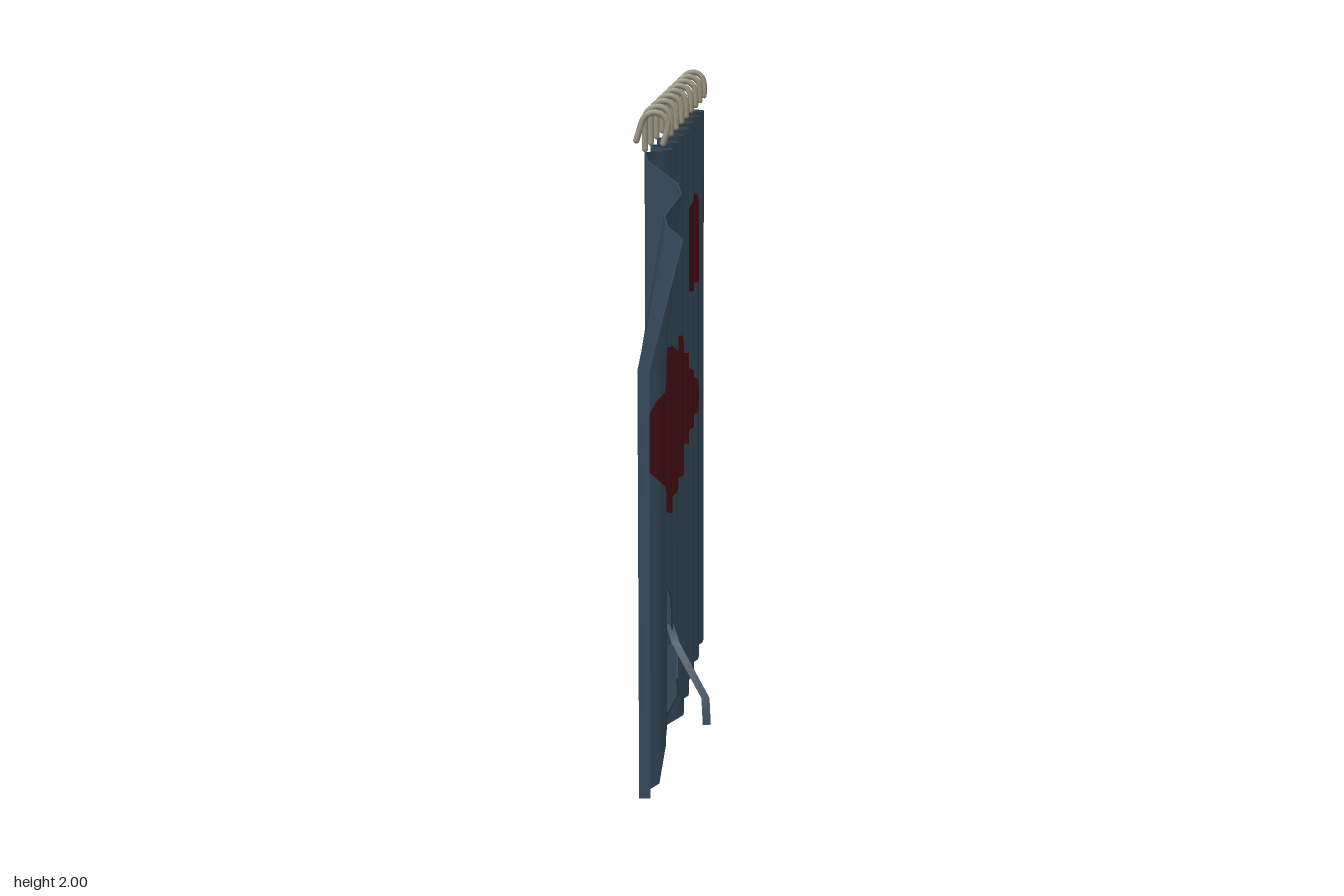
import * as THREE from 'three';

const FOLDS = 48, STEP = 1.6 / FOLDS;      // eight waves of six facets each
const TOP = 1.86, CURL_Y = 1.27, CURL_Z = 0.54, HALF_THICK = 0.002;
const { lerp, clamp } = THREE.MathUtils;

const foldZ = i => -0.8 + i * STEP;
const wave = i => -0.052 + 0.038 * Math.sin(i * Math.PI / 3);

// Sideways position of the cloth: faceted wave plus the loose corner leaning out
function clothX(z, y) {
  const f = (z + 0.8) / STEP, i = Math.floor(f + 1e-6);
  const s = clamp((z - CURL_Z) / (0.8 - CURL_Z), 0, 1);
  const top = TOP - 0.21 * s;
  const curl = 0.097 * s * clamp((y - CURL_Y) / (top - CURL_Y), 0, 1);
  return lerp(wave(i), wave(i + 1), f - i) + curl;
}

function clothNormal(z, y) {
  const h = STEP * 0.8;
  const dz = (clothX(z + h, y) - clothX(z - h, y)) / (2 * h);
  const dy = (clothX(z, y + h) - clothX(z, y - h)) / (2 * h);
  return new THREE.Vector3(1, -dy, -dz).normalize();
}

// Outline of the cloth in (z, y): wavy hem, jagged tear, drooping corner
function clothOutline() {
  const hem = i => [foldZ(i), 0.38 * (wave(i) + 0.085)];
  const pts = [];
  for (let i = 0; foldZ(i) < 0.15; i++) pts.push(hem(i));
  pts.push([0.162, 0.002], [0.265, 0.207], [0.249, 0.345], [0.361, 0.292], [0.34, 0.515], [0.44, 0.414],
    [0.499, 0.647], [0.578, 0.387], [0.562, 0.223], [0.663, 0.154], [0.685, 0.018]);
  for (let i = 45; i <= FOLDS; i++) pts.push(hem(i));
  pts.push([0.8, 1.65], [CURL_Z, TOP], [-0.8, TOP]);
  return pts;
}

const longStain = [
  [0.737, 1.035], [0.727, 1.10], [0.69, 1.167], [0.63, 1.22], [0.562, 1.26], [0.472, 1.284], [0.34, 1.284],
  [0.297, 1.268], [0.255, 1.225], [0.18, 1.252], [0.138, 1.236], [0.069, 1.247], [0, 1.183], [-0.111, 1.157],
  [-0.19, 1.15], [-0.276, 1.103], [-0.34, 1.056], [-0.42, 1.04], [-0.472, 1.03], [-0.54, 0.99], [-0.567, 0.934],
  [-0.546, 0.886], [-0.493, 0.865], [-0.366, 0.88], [-0.297, 0.86], [-0.207, 0.85], [-0.111, 0.865], [-0.02, 0.85],
  [0.03, 0.81], [0.085, 0.80], [0.165, 0.81], [0.255, 0.806], [0.297, 0.78], [0.366, 0.764], [0.472, 0.785],
  [0.59, 0.85], [0.658, 0.90], [0.716, 0.97]];

const splatStain = [
  [-0.38, 1.645], [-0.41, 1.62], [-0.45, 1.63], [-0.48, 1.615], [-0.51, 1.62], [-0.55, 1.59], [-0.58, 1.60],
  [-0.59, 1.56], [-0.63, 1.54], [-0.64, 1.50], [-0.68, 1.48], [-0.66, 1.44], [-0.665, 1.41], [-0.63, 1.38],
  [-0.63, 1.35], [-0.58, 1.34], [-0.55, 1.315], [-0.50, 1.32], [-0.41, 1.295], [-0.38, 1.32], [-0.32, 1.32],
  [-0.31, 1.35], [-0.26, 1.36], [-0.265, 1.41], [-0.24, 1.43], [-0.26, 1.47], [-0.23, 1.49], [-0.24, 1.53],
  [-0.28, 1.555], [-0.32, 1.59], [-0.34, 1.62]];

// Cut the cloth into upright slabs at every fold and outline corner, then sort
// the trapezoids of each slab into plain cloth, stain or nothing
function clothGeometries() {
  const edges = [];
  const addLoop = (pts, kind) => pts.forEach((a, i) => edges.push({ a, b: pts[(i + 1) % pts.length], kind }));
  addLoop(clothOutline(), 'cloth');
  addLoop(longStain, 'stain');
  addLoop(splatStain, 'stain');
  edges.push({ a: [CURL_Z, CURL_Y], b: [0.8, CURL_Y], kind: 'crease' });

  const cuts = edges.flatMap(e => [e.a[0], e.b[0]]);
  for (let i = 0; i <= FOLDS; i++) cuts.push(foldZ(i));
  cuts.sort((p, q) => p - q);

  const yAt = ({ a, b }, z) => lerp(a[1], b[1], (z - a[0]) / (b[0] - a[0]));
  const data = { cloth: { pos: [], nor: [] }, stain: { pos: [], nor: [] } };

  // Quad of [z, y, side] corners; side picks the outer (+1) or inner (-1) face
  const quad = (out, corners, rimNormal) => {
    for (const n of [0, 1, 2, 0, 2, 3]) {
      const [z, y, side] = corners[n];
      out.pos.push(clothX(z, y) + side * HALF_THICK, y, z);
      out.nor.push(...(rimNormal || clothNormal(z, y).multiplyScalar(side).toArray()));
    }
  };

  for (let k = 0; k + 1 < cuts.length; k++) {
    const z0 = cuts[k], z1 = cuts[k + 1], mid = (z0 + z1) / 2;
    if (z1 - z0 < 1e-6) continue;
    const crossing = edges
      .filter(({ a, b }) => Math.min(a[0], b[0]) < mid && Math.max(a[0], b[0]) > mid)
      .sort((p, q) => yAt(p, mid) - yAt(q, mid));
    const inside = { cloth: false, stain: false, crease: false };
    for (let j = 0; j + 1 < crossing.length; j++) {
      const lo = crossing[j], hi = crossing[j + 1];
      inside[lo.kind] = !inside[lo.kind];
      if (!inside.cloth) continue;
      const out = inside.stain ? data.stain : data.cloth;
      const q = [[z1, yAt(lo, z1)], [z0, yAt(lo, z0)], [z0, yAt(hi, z0)], [z1, yAt(hi, z1)]];
      const outer = q.map(p => [...p, 1]), inner = q.map(p => [...p, -1]);
      quad(out, outer);
      quad(out, [...inner].reverse());
      // Thin rim along the hem, tear and top
      if (lo.kind === 'cloth') quad(out, [inner[0], inner[1], outer[1], outer[0]], [0, -1, 0]);
      if (hi.kind === 'cloth') quad(out, [outer[3], outer[2], inner[2], inner[3]], [0, 1, 0]);
    }
  }
  return [data.cloth, data.stain].map(({ pos, nor }) => new THREE.BufferGeometry()
    .setAttribute('position', new THREE.Float32BufferAttribute(pos, 3))
    .setAttribute('normal', new THREE.Float32BufferAttribute(nor, 3)));
}

// Narrow ribbon of torn cloth hanging out of the hole
function shredGeometry() {
  const path = [[-0.037, 0.4, 0.325], [-0.012, 0.36, 0.392], [0.082, 0.205, 0.442], [0.087, 0.125, 0.455]];
  const geo = new THREE.PlaneGeometry(0.024, 1, 1, path.length - 1);
  const p = geo.attributes.position;
  for (let i = 0; i < p.count; i++) {
    const [x, y, z] = path[Math.floor(i / 2)];
    p.setXYZ(i, x + p.getX(i), y, z - 0.25 * p.getX(i));
  }
  geo.computeVertexNormals();
  return geo;
}

// Cane-shaped hook centred on its bend
function makeHook(leg, material) {
  const r = 0.037, pts = [new THREE.Vector3(-r, -leg, 0), new THREE.Vector3(-r, -leg / 2, 0)];
  for (let i = 0; i <= 6; i++) {
    const a = Math.PI * (1 - i / 6);
    pts.push(new THREE.Vector3(r * Math.cos(a), r * Math.sin(a), 0));
  }
  pts.push(new THREE.Vector3(r, -0.04, 0));
  const hook = new THREE.Group();
  const bar = new THREE.Mesh(new THREE.TubeGeometry(new THREE.CatmullRomCurve3(pts), 24, 0.009, 8), material);
  bar.name = 'hookBar';
  hook.add(bar);
  for (const end of [pts[0], pts[pts.length - 1]]) {
    const tip = new THREE.Mesh(new THREE.SphereGeometry(0.009, 8, 6), material);
    tip.name = 'hookTip';
    tip.position.copy(end);
    hook.add(tip);
  }
  return hook;
}

export function createModel() {
  const group = new THREE.Group();
  const clothMat = new THREE.MeshStandardMaterial({ color: 0x354a5b, side: THREE.DoubleSide });
  const stainMat = new THREE.MeshStandardMaterial({ color: 0x490f14, side: THREE.DoubleSide });
  const hookMat = new THREE.MeshStandardMaterial({ color: 0x99927f });

  const add = (name, geo, mat) => {
    const mesh = new THREE.Mesh(geo, mat);
    mesh.name = name;
    group.add(mesh);
  };
  const [cloth, stains] = clothGeometries();
  add('curtain', cloth, clothMat);
  add('stains', stains, stainMat);
  add('tornShred', shredGeometry(), clothMat);

  // Row of hooks; the last has come loose and hangs askew
  for (let i = 0; i < 9; i++) {
    const loose = i === 8;
    const hook = makeHook(loose ? 0.055 : 0.085, hookMat);
    hook.name = loose ? 'looseHook' : 'hook';
    hook.position.set(loose ? -0.042 : -0.05, 1.953, -0.719 + i * 0.178);
    if (loose) hook.rotation.z = -0.3;
    group.add(hook);
  }
  return group;
}
